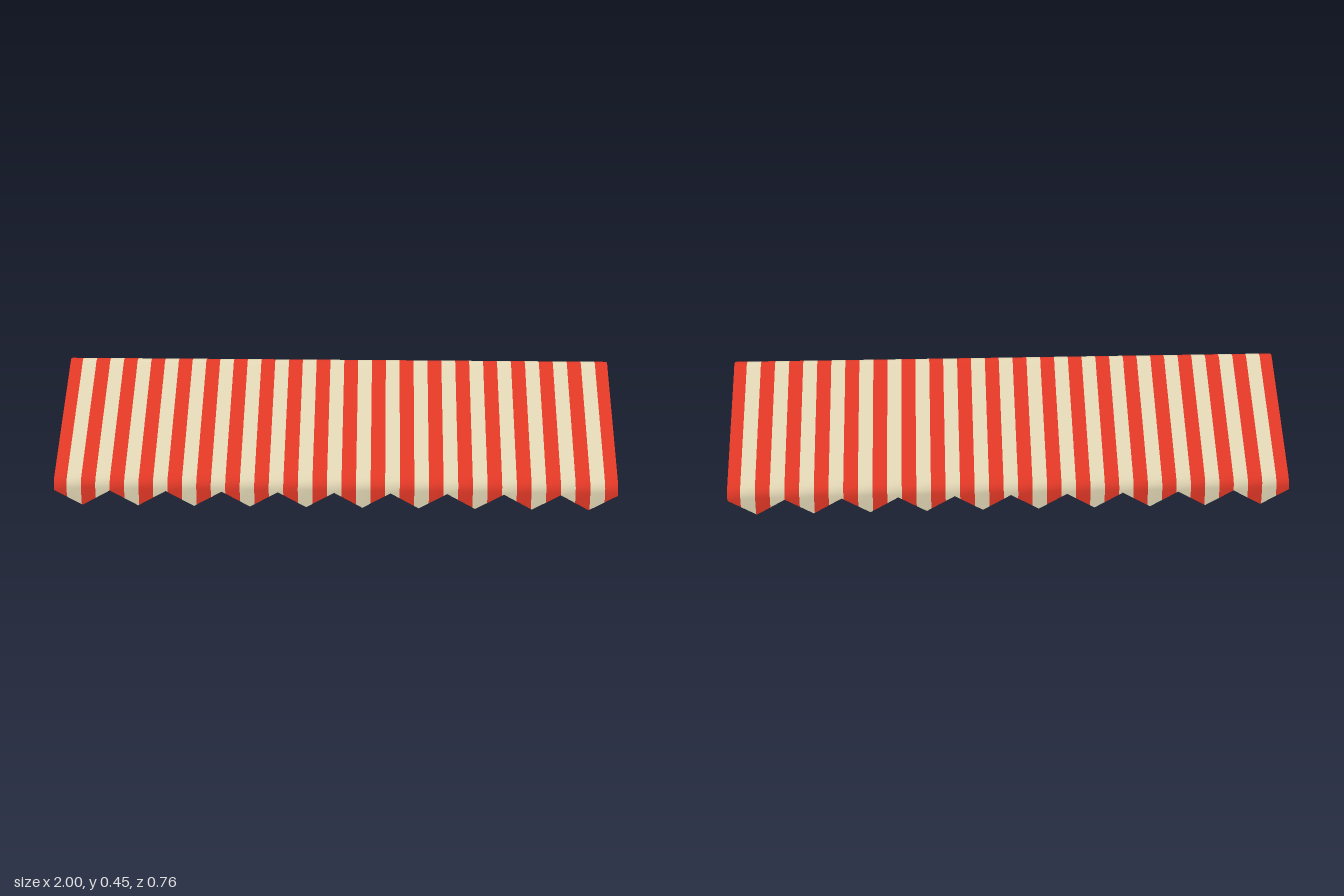
import * as THREE from 'three';

const red = new THREE.MeshStandardMaterial({ name: 'red', color: 0xe23826, side: THREE.DoubleSide });
const cream = new THREE.MeshStandardMaterial({ name: 'cream', color: 0xe2d7b5, side: THREE.DoubleSide });

// Half cross-section [z, y] from ridge to the top of the valance
const half = [[0.012, 0.444], [0.026, 0.434], [0.04, 0.418], [0.2, 0.262], [0.35, 0.114], [0.366, 0.098], [0.376, 0.082], [0.38, 0.064]];

// Zigzag hem: ten pointed teeth along the length
const hemY = (x) => 0.055 * Math.abs(((x + 1) / 0.1) % 2 - 1);

// Full cross-section at x, from back hem over the ridge to front hem
function section(x) {
  const side = [...half, [0.38, hemY(x)]];
  return [...side.map(([z, y]) => [-z, y]).reverse(), [0, 0.446], ...side];
}

// One strip of cloth, with extra columns where the hem turns
function stripGeometry(x0, x1) {
  const xs = [x0];
  for (let i = -9; i <= 9; i++) {
    const x = i / 10;
    if (x > x0 + 1e-4 && x < x1 - 1e-4) xs.push(x);
  }
  xs.push(x1);
  const pos = [], index = [];
  let n = 0;
  xs.forEach((x, c) => {
    const pts = section(x);
    n = pts.length;
    pts.forEach(([z, y]) => pos.push(x, y, z));
    if (c === 0) return;
    for (let j = 0; j < n - 1; j++) {
      const a = (c - 1) * n + j, b = c * n + j;
      index.push(a, a + 1, b, b, a + 1, b + 1);
    }
  });
  const g = new THREE.BufferGeometry();
  g.setAttribute('position', new THREE.Float32BufferAttribute(pos, 3));
  g.setIndex(index);
  g.computeVertexNormals();
  return g;
}

export function createModel() {
  const group = new THREE.Group();
  group.name = 'awning';
  // 39 alternating stripes, the end ones slightly narrower
  const count = 39, width = 0.0516;
  for (let i = 0; i < count; i++) {
    const mid = (i - (count - 1) / 2) * width;
    const x0 = Math.max(-1, mid - width / 2), x1 = Math.min(1, mid + width / 2);
    const mesh = new THREE.Mesh(stripGeometry(x0, x1), i % 2 ? cream : red);
    mesh.name = i % 2 ? 'creamStripe' : 'redStripe';
    group.add(mesh);
  }
  return group;
}
